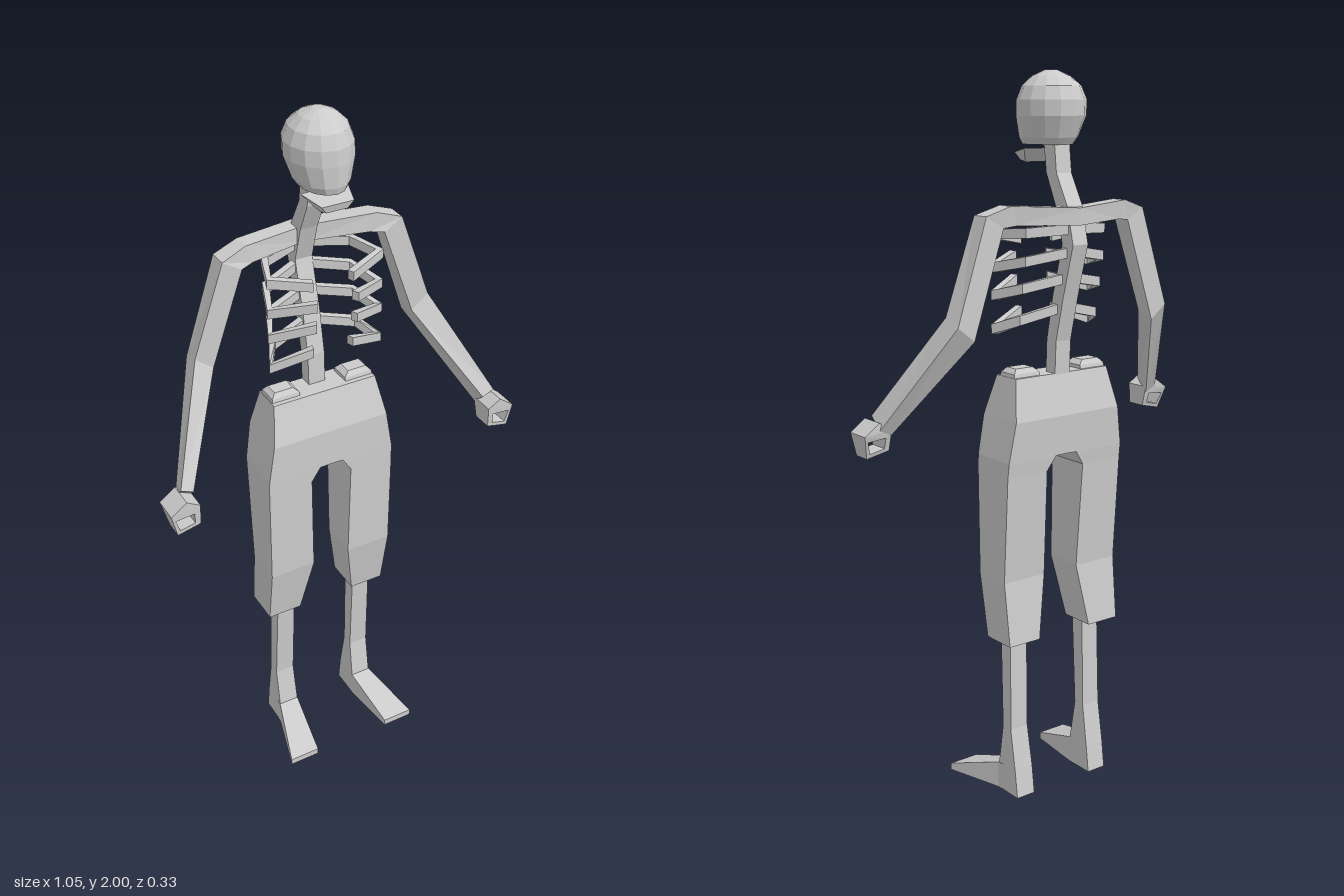
import * as THREE from 'three';

const material = new THREE.MeshStandardMaterial({ color: 0xcccccc, flatShading: true, side: THREE.DoubleSide });

// Skin a row of equal-sized rings of [x, y, z] and close both ends; winding is fixed by signed volume.
function loft(name, rings) {
  const n = rings[0].length, tris = [];
  for (let r = 0; r < rings.length - 1; r++) {
    for (let i = 0; i < n; i++) {
      const j = (i + 1) % n, a = rings[r], b = rings[r + 1];
      tris.push([a[i], a[j], b[j]], [a[i], b[j], b[i]]);
    }
  }
  const first = rings[0], last = rings[rings.length - 1];
  for (let i = 1; i < n - 1; i++) {
    tris.push([first[0], first[i + 1], first[i]], [last[0], last[i], last[i + 1]]);
  }
  let volume = 0;
  const v = (p) => new THREE.Vector3(...p);
  for (const [a, b, c] of tris) volume += v(a).dot(v(b).cross(v(c)));
  if (volume < 0) tris.forEach((t) => t.reverse());
  const geo = new THREE.BufferGeometry();
  geo.setAttribute('position', new THREE.Float32BufferAttribute(tris.flat(2), 3));
  geo.computeVertexNormals();
  const mesh = new THREE.Mesh(geo, material);
  mesh.name = name;
  return mesh;
}

// Horizontal rectangle at height y
const slab = (y, x0, x1, z0, z1) => [[x0, y, z0], [x1, y, z0], [x1, y, z1], [x0, y, z1]];
// Upright rectangle at depth z
const wall = (z, x0, x1, y0, y1) => [[x0, y0, z], [x1, y0, z], [x1, y1, z], [x0, y1, z]];
// Limb section: outer edge, inner edge, back and front depth, front lift
const limb = (xo, yo, xi, yi, zb, zf, lift = 0) =>
  [[xo, yo, zb], [xi, yi, zb], [xi, yi + lift, zf], [xo, yo + lift, zf]];
const mirror = (rings, s) => rings.map((r) => r.map(([x, y, z]) => [x * s, y, z]));

// Flat strip following a path, square to the path in plan
function strip(path, height, thick) {
  return path.map((p, i) => {
    const a = path[Math.max(i - 1, 0)], b = path[Math.min(i + 1, path.length - 1)];
    const len = Math.hypot(b[0] - a[0], b[2] - a[2]);
    const nx = -(b[2] - a[2]) / len * thick / 2, nz = (b[0] - a[0]) / len * thick / 2;
    const h = height / 2, [x, y, z] = p;
    return [[x - nx, y - h, z - nz], [x + nx, y - h, z + nz], [x + nx, y + h, z + nz], [x - nx, y + h, z - nz]];
  });
}

export function createModel() {
  const model = new THREE.Group();

  // Skull: [y, half width, front z, back z]
  const skull = [
    [1.812, 0.058, 0.055, -0.105], [1.83, 0.07, 0.06, -0.118], [1.885, 0.087, 0.06, -0.14],
    [1.925, 0.088, 0.056, -0.14], [1.96, 0.074, 0.042, -0.125], [1.985, 0.048, 0.012, -0.092],
    [2.0, 0.016, -0.022, -0.056],
  ].map(([y, w, f, b]) => Array.from({ length: 14 }, (_, i) => {
    const a = (i / 14) * Math.PI * 2;
    return [w * Math.sin(a), y, (f + b) / 2 + (f - b) / 2 * Math.cos(a)];
  }));
  model.add(loft('skull', skull));

  // Jaw: tapering wedge under the face
  model.add(loft('jaw', [
    [[-0.035, 1.765, 0.025], [0.035, 1.765, 0.025], [0.03, 1.77, 0.055], [-0.03, 1.77, 0.055]],
    [[-0.066, 1.802, -0.01], [0.066, 1.802, -0.01], [0.045, 1.79, 0.06], [-0.045, 1.79, 0.06]],
  ]));

  // Neck and spine
  model.add(loft('spine', [
    [1.19, -0.09, -0.05], [1.3, -0.095, -0.055], [1.42, -0.125, -0.08], [1.56, -0.165, -0.12],
    [1.66, -0.14, -0.09], [1.74, -0.095, -0.052], [1.83, -0.085, -0.04],
  ].map(([y, b, f]) => slab(y, -0.025, 0.025, b, f))));

  // Ribs: [spine height, side height, front height, front z, spine z]
  const ribs = [
    [1.6, 1.585, 1.565, 0.03, -0.14], [1.54, 1.498, 1.518, 0.055, -0.135],
    [1.47, 1.425, 1.455, 0.05, -0.115], [1.39, 1.335, 1.372, 0.03, -0.095],
  ];

  for (const [side, s] of [['left', 1], ['right', -1]]) {
    const add = (name, rings) => model.add(loft(side + name, mirror(rings, s)));

    ribs.forEach(([ys, yo, yf, zf, zs], i) => add('Rib' + (i + 1), strip([
      [0.01, ys, zs], [0.125, (ys + yo) / 2, zs * 0.7], [0.16, yo, -0.005], [0.055, yf, zf],
    ], 0.026, 0.02)));

    // Collarbone, upper arm and forearm in one run
    add('Arm', [
      limb(0, 1.655, 0, 1.61, -0.165, -0.115),
      limb(0.19, 1.665, 0.17, 1.615, -0.12, -0.07),
      limb(0.26, 1.642, 0.207, 1.61, -0.112, -0.058),
      limb(0.35, 1.37, 0.3, 1.33, -0.112, -0.056, 0.02),
      limb(0.48, 1.09, 0.445, 1.075, 0.065, 0.105, 0.035),
    ]);

    // Curled hand, open through the middle
    const points = (list) => list.map(([x, y]) => new THREE.Vector2(x * s, y));
    const fist = new THREE.Shape(points([[0.48, 1.112], [0.525, 1.08], [0.51, 1.015], [0.445, 1.03], [0.443, 1.09]]));
    fist.holes.push(new THREE.Path(points([[0.46, 1.068], [0.513, 1.063], [0.502, 1.028], [0.46, 1.038]])));
    const geo = new THREE.ExtrudeGeometry(fist, { depth: 0.075, bevelEnabled: false });
    const pos = geo.attributes.position;
    for (let i = 0; i < pos.count; i++) {
      // Narrow the lower edge front to back
      const t = THREE.MathUtils.clamp((1.08 - pos.getY(i)) / 0.065, 0, 1);
      pos.setZ(i, 0.065 + 0.02 * t + pos.getZ(i) * (1 - 0.3 * t));
    }
    geo.computeVertexNormals();
    const hand = new THREE.Mesh(geo, material);
    hand.name = side + 'Hand';
    model.add(hand);

    // Half of the cropped trousers, meeting its mirror above the crotch
    add('TrouserLeg', [
      slab(0.47, 0.088, 0.19, -0.105, 0.0),
      slab(0.65, 0.057, 0.193, -0.085, 0.03),
      slab(0.95, 0.062, 0.194, -0.105, 0.032),
      slab(0.99, 0.035, 0.193, -0.11, 0.032),
      slab(0.991, 0, 0.193, -0.11, 0.032),
      slab(1.1, 0, 0.175, -0.118, 0.03),
      slab(1.212, 0, 0.155, -0.09, -0.004),
    ]);

    // Hip bone showing above the waistband
    add('HipBone', [slab(1.2, 0.07, 0.155, -0.085, -0.015), slab(1.222, 0.07, 0.152, -0.08, -0.02),
      slab(1.235, 0.085, 0.14, -0.07, -0.03)]);

    // Shin widening down into the heel
    add('Shin', [
      slab(0, 0.1, 0.16, -0.095, -0.005), slab(0.08, 0.1, 0.16, -0.085, -0.008),
      slab(0.2, 0.102, 0.16, -0.065, -0.028), slab(0.49, 0.1, 0.155, -0.06, -0.015),
    ]);

    // Wedge foot, turned slightly outward
    add('Foot', [wall(-0.03, 0.1, 0.16, 0, 0.08), wall(-0.005, 0.1, 0.162, 0, 0.078), wall(0.165, 0.12, 0.212, 0, 0.02)]);
  }
  return model;
}
